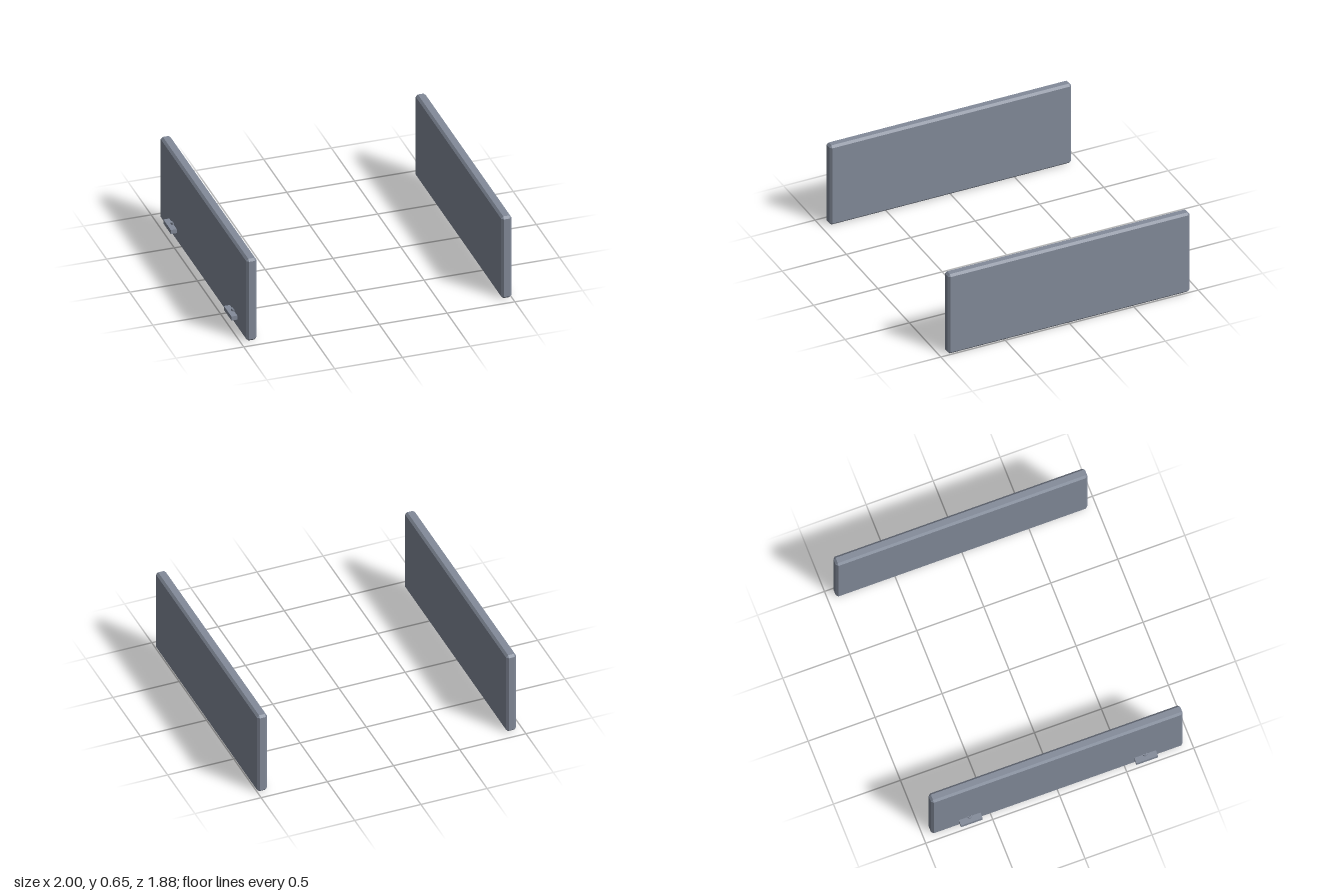
import * as THREE from 'three';
import { ConvexGeometry } from 'three/addons/geometries/ConvexGeometry.js';

const material = new THREE.MeshStandardMaterial({ color: 0x838b9a, flatShading: true });

// Box with every edge cut by a flat chamfer
function chamferedBox(w, h, d, c) {
  const points = [];
  for (const x of [-1, 1]) for (const y of [-1, 1]) for (const z of [-1, 1]) {
    for (let axis = 0; axis < 3; axis++) {
      const inset = [c, c, c];
      inset[axis] = 0;
      points.push(new THREE.Vector3(
        x * (w / 2 - inset[0]), y * (h / 2 - inset[1]), z * (d / 2 - inset[2])));
    }
  }
  return new ConvexGeometry(points);
}

// Flat outline with a round hole at the origin, extruded upwards from y = 0
function drilled(shape, holeRadius, height) {
  const hole = new THREE.Path();
  hole.absarc(0, 0, holeRadius, 0, Math.PI * 2, true);
  shape.holes.push(hole);
  const geometry = new THREE.ExtrudeGeometry(shape, { depth: height, bevelEnabled: false, curveSegments: 16 });
  return geometry.rotateX(-Math.PI / 2);
}

export function createModel() {
  const group = new THREE.Group();
  const add = (parent, geometry, name, x, y, z) => {
    const mesh = new THREE.Mesh(geometry, material);
    mesh.name = name;
    mesh.position.set(x, y, z);
    parent.add(mesh);
  };

  // Two upright side panels
  const panel = chamferedBox(0.075, 0.653, 1.878, 0.016);
  add(group, panel, 'leftPanel', 0.9625, 0.3265, 0);
  add(group, panel, 'rightPanel', -0.9185, 0.3265, 0);

  // Drilled mounting brackets with a raised collar, low on the right panel's outer face
  const outline = new THREE.Shape([[-0.043, -0.081], [0.02, -0.081], [0.02, 0.081], [-0.043, 0.081]]
    .map(([x, y]) => new THREE.Vector2(x, y)));
  const plate = drilled(outline, 0.008, 0.032);
  const ring = new THREE.Shape();
  ring.absarc(0, 0, 0.016, 0, Math.PI * 2);
  const collar = drilled(ring, 0.008, 0.015);
  for (const [side, z] of [['front', 0.653], ['back', -0.656]]) {
    const bracket = new THREE.Group();
    bracket.name = side + 'Bracket';
    bracket.position.set(-0.957, 0.07, z);
    add(bracket, plate, 'bracketPlate', 0, 0, 0);
    add(bracket, collar, 'bracketCollar', 0, 0.032, 0);
    group.add(bracket);
  }
  return group;
}
